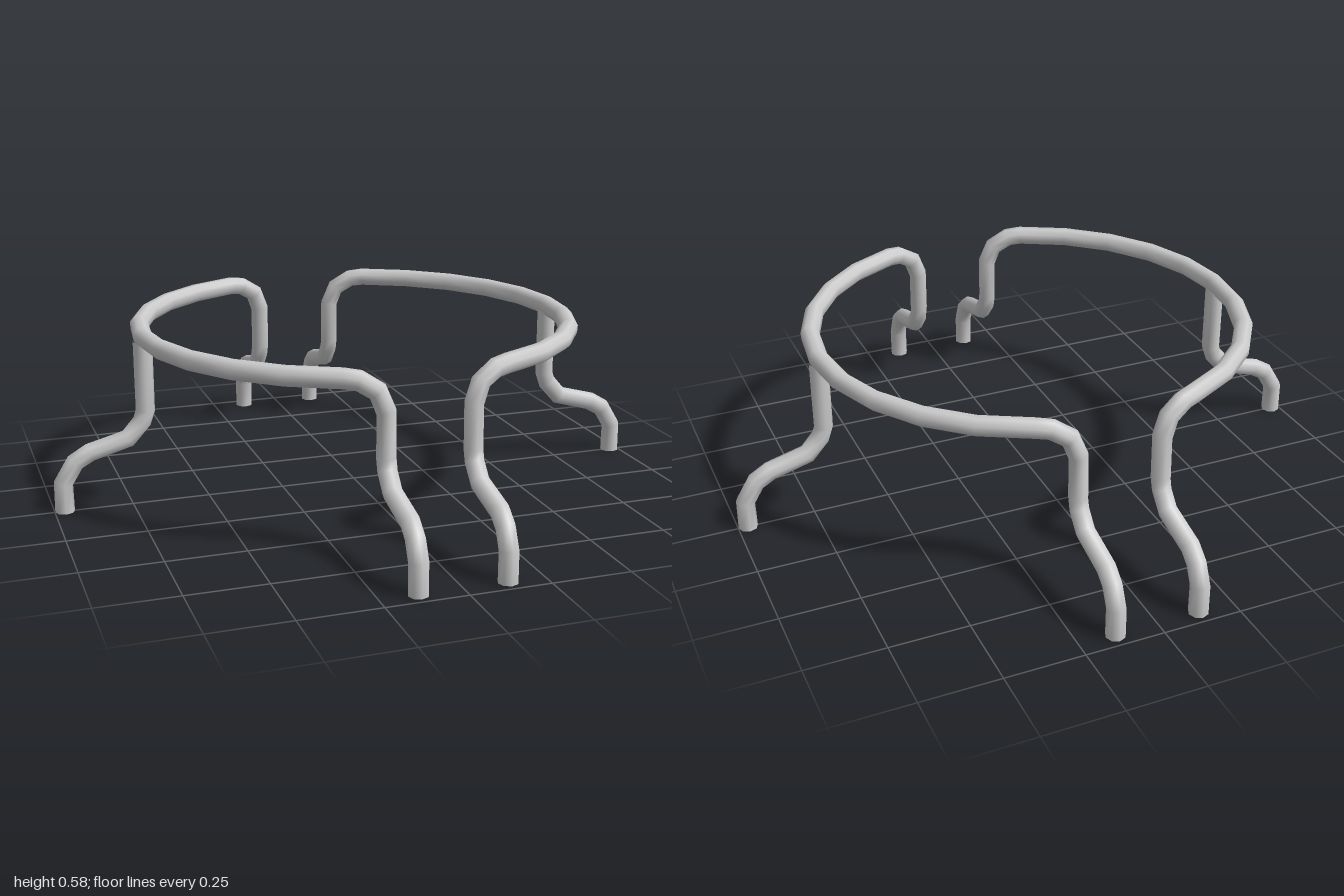
import * as THREE from 'three';

const WIRE = 0.031, SIDES = 8, RING = 0.697, RING_Y = 0.549;
const material = new THREE.MeshStandardMaterial({ color: 0xcccccc });

// Straight-segment path that puts one tube ring on each point
class Polyline extends THREE.Curve {
  constructor(points) {
    super();
    this.points = points;
  }
  getPointAt(u) {
    return this.points[Math.round(u * (this.points.length - 1))].clone();
  }
  getTangentAt(u) {
    const p = this.points, last = p.length - 1, i = Math.round(u * last);
    const t = new THREE.Vector3();
    if (i > 0) t.add(p[i].clone().sub(p[i - 1]).normalize());
    if (i < last) t.add(p[i + 1].clone().sub(p[i]).normalize());
    return t.normalize();
  }
}

function wire(name, points) {
  const geometry = new THREE.TubeGeometry(new Polyline(points), points.length - 1, WIRE, SIDES, false);
  const mesh = new THREE.Mesh(geometry, material);
  mesh.name = name;
  return mesh;
}

// Flat end under a foot
function footEnd(x, z) {
  const mesh = new THREE.Mesh(new THREE.CircleGeometry(WIRE, SIDES), material);
  mesh.rotation.x = Math.PI / 2;
  mesh.position.set(x, 0, z);
  mesh.name = 'footEnd';
  return mesh;
}

// Leg outline from the foot up: distance from the centre, height
const END_LEG = [[0.953, 0], [0.953, 0.095], [0.925, 0.155], [0.885, 0.188],
  [0.745, 0.224], [0.7, 0.275], [0.69, 0.31], [0.687, 0.45]];
const SIDE_LEG = [[0.968, 0], [0.968, 0.095], [0.928, 0.16], [0.88, 0.188],
  [0.757, 0.222], [0.71, 0.275], [0.698, 0.31], [0.698, 0.535]];
const GAP = 0.135;

// Half of the wire frame: front leg, half ring and back leg in one bent wire
function halfFrame(side) {
  const onRing = (x, y, dir) => new THREE.Vector3(side * x, y, dir * Math.sqrt(RING * RING - x * x));
  const leg = (dir) => [
    ...END_LEG.map(([d, y]) => new THREE.Vector3(side * GAP, y, dir * d)),
    onRing(0.158, 0.51, dir),
    onRing(0.21, 0.543, dir),
  ];
  const arc = [];
  const start = 0.37, steps = 10;
  for (let i = 0; i <= steps; i++) {
    const a = start + (Math.PI - 2 * start) * i / steps;
    arc.push(new THREE.Vector3(side * RING * Math.sin(a), RING_Y, RING * Math.cos(a)));
  }
  return wire('halfRingWithLegs', [...leg(1), ...arc, ...leg(-1).reverse()]);
}

export function createModel() {
  const group = new THREE.Group();
  group.name = 'wireStand';
  for (const side of [1, -1]) {
    const half = new THREE.Group();
    half.name = side > 0 ? 'leftHalf' : 'rightHalf';
    half.add(halfFrame(side));
    half.add(wire('sideLeg', SIDE_LEG.map(([d, y]) => new THREE.Vector3(side * d, y, 0))));
    half.add(footEnd(side * GAP, 0.953), footEnd(side * GAP, -0.953), footEnd(side * 0.968, 0));
    group.add(half);
  }
  return group;
}
